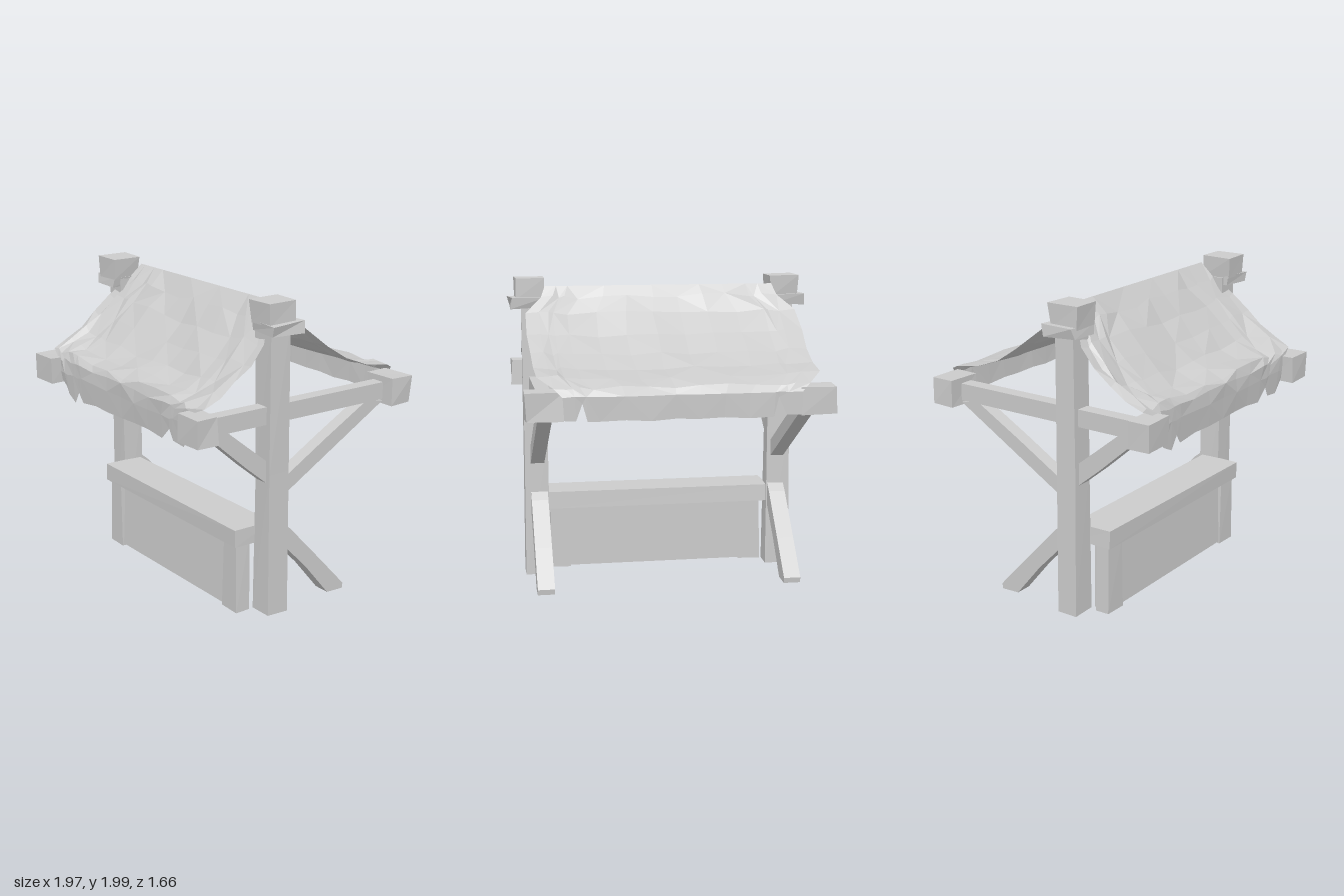
import * as THREE from 'three';

const wood = new THREE.MeshStandardMaterial({ color: 0xcccccc, flatShading: true });
const clothMat = new THREE.MeshStandardMaterial({ color: 0xcccccc, flatShading: true, side: THREE.DoubleSide });

// Repeatable noise in -1..1 from a position
function noise(a, b, c) {
  const s = Math.sin(a * 127.1 + b * 311.7 + c * 74.7) * 43758.5453;
  return (s - Math.floor(s)) * 2 - 1;
}

function addMesh(parent, name, geometry, material = wood) {
  const mesh = new THREE.Mesh(geometry, material);
  mesh.name = name;
  parent.add(mesh);
  return mesh;
}

// Rough-cut block between two corners; flare scales the lower end
function hewnBlock(min, max, wobble = 0.008, flare = 1, rows = 1) {
  const size = max.map((v, i) => v - min[i]);
  const g = new THREE.BoxGeometry(size[0], size[1], size[2], 1, rows, 1);
  const p = g.attributes.position;
  for (let i = 0; i < p.count; i++) {
    const x = p.getX(i), y = p.getY(i), z = p.getZ(i);
    const k = y < 0 ? flare : 1;
    const n = s => noise(x + min[0] + s, y + min[1], z + min[2]) * wobble;
    p.setXYZ(i, x * k + n(1), y + n(2) * 0.5, z * k + n(3));
  }
  g.translate(...min.map((v, i) => v + size[i] / 2));
  g.computeVertexNormals();
  return g;
}

// Side outline given as [z, y] points, extruded from x0 to x1
function sidePrism(points, x0, x1) {
  const shape = new THREE.Shape(points.map(([z, y]) => new THREE.Vector2(z, y)));
  const g = new THREE.ExtrudeGeometry(shape, { depth: x1 - x0, bevelEnabled: false });
  g.rotateY(-Math.PI / 2);
  return g.translate(x1, 0, 0);
}

// Cloth lofted over rows of [z, y, halfWidth, sag]; the last row follows a torn hem of [x, y]
function cloth(rows, hem, rough) {
  const cols = hem.length, pos = [], idx = [];
  const hemHalf = hem[cols - 1][0];
  rows.forEach(([z, y, half, sag], r) => {
    const last = r === rows.length - 1;
    hem.forEach(([hx, hy], c) => {
      const u = hx / hemHalf;
      const edge = c === 0 || c === cols - 1;
      const k = r === 0 ? 0 : edge || r >= rows.length - 2 ? 0.3 : 1;
      const n = noise(r + 0.3, c + 0.7, z) * rough * k;
      const m = noise(c + 0.1, r + 0.9, y) * rough * k;
      pos.push(
        u * half + (edge ? m : m * 0.6),
        last ? hy : y - sag * (1 - u * u) + n,
        z + m * 0.4
      );
      if (r && c) {
        const d = r * cols + c, b = d - cols;
        if ((r + c) % 2) idx.push(b - 1, d - 1, d, b - 1, d, b);
        else idx.push(b - 1, d - 1, b, b, d - 1, d);
      }
    });
  });
  const g = new THREE.BufferGeometry();
  g.setAttribute('position', new THREE.Float32BufferAttribute(pos, 3));
  g.setIndex(idx);
  g.computeVertexNormals();
  return g;
}

export function createModel() {
  const group = new THREE.Group();
  group.name = 'marketStall';

  // Side frames: post, cap, roof arm, braces and rear leg
  for (const s of [-1, 1]) {
    const frame = new THREE.Group();
    frame.name = s > 0 ? 'leftFrame' : 'rightFrame';
    group.add(frame);
    const span = (a, b) => (s > 0 ? [a, b] : [-b, -a]);
    const block = (name, x, y, z, ...opts) => {
      const [x0, x1] = span(...x);
      addMesh(frame, name, hewnBlock([x0, y[0], z[0]], [x1, y[1], z[1]], ...opts));
    };
    const prism = (name, points, x = [0.77, 0.86]) =>
      addMesh(frame, name, sidePrism(points, ...span(...x)));

    block('post', [0.75, 0.9], [0.02, 1.86], [0.13, 0.265], 0.007, 1.04, 2);
    block('postCollar', [0.75, 0.975], [1.81, 1.875], [0.085, 0.315], 0.014, 0.93);
    block('postCap', [0.75, 0.94], [1.86, 2.0], [0.115, 0.32], 0.006, 0.9);
    block('frontBeamEnd', [0.745, 0.945], [1.225, 1.395], [0.68, 0.825], 0.008);
    block('rearBeamEnd', [0.715, 0.945], [1.225, 1.395], [-0.815, -0.655], 0.008);
    prism('roofArm', [[-0.67, 1.25], [0.7, 1.25], [0.7, 1.36], [-0.67, 1.36]]);
    prism('frontBrace', [[0.25, 0.87], [0.42, 1.01], [0.68, 1.24], [0.56, 1.26], [0.4, 1.13], [0.25, 1.01]]);
    prism('rearBrace', [[0.14, 0.77], [0.14, 0.88], [-0.2, 1.08], [-0.52, 1.26], [-0.66, 1.24], [-0.2, 0.97]]);
    prism('rearLeg', [[0.14, 0.46], [0.14, 0.6], [0.07, 0.54], [-0.17, 0.28],
      [-0.37, 0.06], [-0.365, 0.025], [-0.24, 0.03], [-0.06, 0.25]], [0.75, 0.86]);
  }

  // Counter with its front panel and corner boards
  const counter = new THREE.Group();
  counter.name = 'counter';
  group.add(counter);
  addMesh(counter, 'counterTop', hewnBlock([-0.755, 0.46, 0.14], [0.755, 0.575, 0.415], 0.005));
  addMesh(counter, 'frontPanel', sidePrism([[0.28, 0.025], [0.385, 0.025], [0.36, 0.47], [0.28, 0.47]], -0.73, 0.72));
  for (const s of [-1, 1]) {
    const board = addMesh(counter, 'cornerBoard', hewnBlock([-0.07, 0.012, 0.28], [0.07, 0.47, 0.375], 0.006, 1.08));
    board.position.set(s * 0.665, 0, 0.015);
  }

  // Awning: front and rear slopes share the ridge and end in torn hanging hems
  const awning = new THREE.Group();
  awning.name = 'awning';
  group.add(awning);
  const frontHem = [
    [-0.74, 1.24], [-0.69, 1.21], [-0.66, 1.16], [-0.58, 1.12], [-0.53, 1.2], [-0.48, 1.14],
    [-0.32, 1.16], [-0.16, 1.155], [0, 1.16], [0.15, 1.165], [0.3, 1.165], [0.45, 1.15],
    [0.53, 1.23], [0.57, 1.165], [0.68, 1.155], [0.74, 1.24]
  ];
  addMesh(awning, 'frontCloth', cloth([
    [0.1, 1.95, 0.75, 0],
    [0.19, 1.86, 0.76, 0.01],
    [0.29, 1.75, 0.86, 0.03],
    [0.4, 1.64, 0.88, 0.05],
    [0.51, 1.55, 0.87, 0.05],
    [0.62, 1.48, 0.88, 0.03],
    [0.725, 1.425, 0.87, 0],
    [0.748, 1.39, 0.78, 0],
    [0.75, 1.3, 0.75, 0],
    [0.74, 1.15, 0.74, 0]
  ], frontHem, 0.022), clothMat);

  const rearHem = [
    [-0.72, 1.23], [-0.63, 1.23], [-0.58, 1.34], [-0.55, 1.22], [-0.4, 1.215], [-0.25, 1.225], [-0.1, 1.22],
    [0.05, 1.225], [0.2, 1.215], [0.35, 1.225], [0.5, 1.22], [0.58, 1.22], [0.61, 1.33], [0.65, 1.225], [0.72, 1.23]
  ];
  addMesh(awning, 'rearCloth', cloth([
    [0.1, 1.95, 0.75, 0],
    [0.06, 1.88, 0.78, 0],
    [-0.02, 1.79, 0.88, 0.01],
    [-0.17, 1.67, 0.89, 0.02],
    [-0.33, 1.57, 0.88, 0.02],
    [-0.5, 1.505, 0.87, 0.02],
    [-0.68, 1.475, 0.87, 0.02],
    [-0.8, 1.42, 0.78, 0],
    [-0.825, 1.37, 0.73, 0],
    [-0.822, 1.22, 0.72, 0]
  ], rearHem, 0.014), clothMat);

  return group;
}
